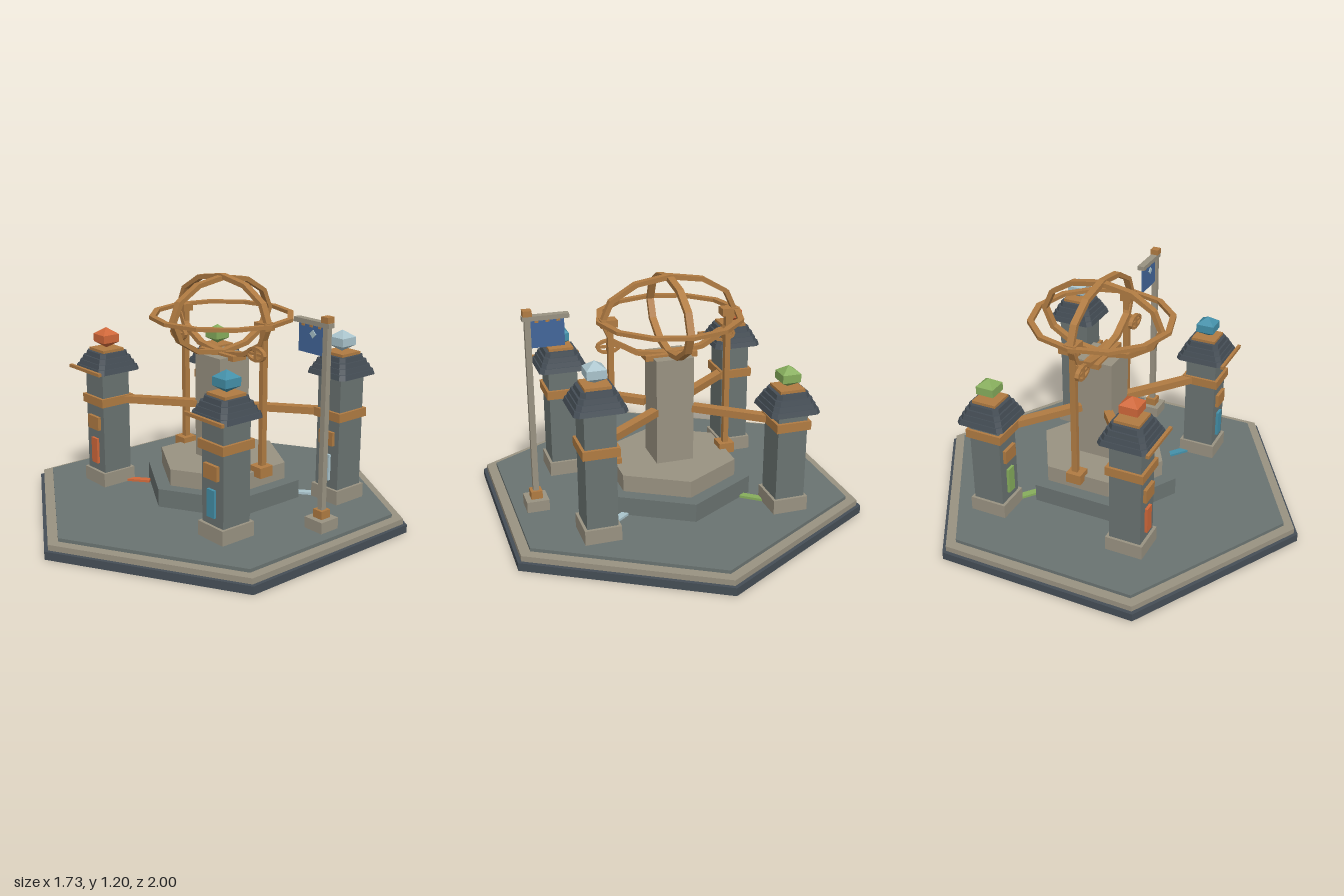
import * as THREE from 'three';

const mat = (name, color) => Object.assign(new THREE.MeshStandardMaterial({ color }), { name });

export function createModel() {
  const slate = mat('dark slate', 0x454e56), stone = mat('grey stone', 0x6a7371);
  const sand = mat('pale stone', 0x999281), bronze = mat('bronze', 0xb07b42);
  const orange = mat('orange', 0xd0683a), teal = mat('teal', 0x4490a9);
  const ice = mat('ice', 0xa9c3cb), green = mat('green', 0x86ad5c), blue = mat('banner blue', 0x42669a);
  const model = new THREE.Group();
  model.name = 'observatoryCourt';
  const CZ = -0.063; // centre line of the court

  const flat = (g) => {
    const f = g.index ? g.toNonIndexed() : g;
    f.computeVertexNormals();
    return f;
  };
  const add = (parent, name, geo, material, x = 0, y = 0, z = 0) => {
    const m = new THREE.Mesh(geo, material);
    m.name = name;
    m.position.set(x, y, z);
    parent.add(m);
    return m;
  };
  // box given by its width, depth and bottom/top heights
  const block = (parent, name, material, w, d, y0, y1, x = 0, z = 0) =>
    add(parent, name, new THREE.BoxGeometry(w, y1 - y0, d), material, x, (y0 + y1) / 2, z);
  const hex = (name, material, r, y0, y1, z = 0) =>
    add(model, name, flat(new THREE.CylinderGeometry(r, r, y1 - y0, 6)), material, 0, (y0 + y1) / 2, z);

  // twelve-sided elliptical hoop with a rectangular section, in the xy plane
  const hoop = (rx, ry, w, d) => {
    const pts = (a, b) => Array.from({ length: 12 }, (_, i) =>
      new THREE.Vector2(a * Math.cos(i * Math.PI / 6), b * Math.sin(i * Math.PI / 6)));
    const s = new THREE.Shape(pts(rx, ry));
    s.holes.push(new THREE.Path(pts(rx - w, ry - w)));
    return new THREE.ExtrudeGeometry(s, { depth: d, bevelEnabled: false }).translate(0, 0, -d / 2);
  };

  // roof slab: square with cut corners, tapering upward
  const slab = (r, h) => {
    const c = r - 0.022;
    const s = new THREE.Shape([[r, -c], [r, c], [c, r], [-c, r], [-r, c], [-r, -c], [-c, -r], [c, -r]]
      .map(([x, y]) => new THREE.Vector2(x, y)));
    const g = new THREE.ExtrudeGeometry(s, { depth: h, bevelEnabled: false }).rotateX(-Math.PI / 2);
    const p = g.attributes.position;
    for (let i = 0; i < p.count; i++) {
      if (p.getY(i) > h / 2) p.setXYZ(i, p.getX(i) * 0.94, p.getY(i), p.getZ(i) * 0.94);
    }
    return flat(g);
  };

  // stepped base, dais and central pillar
  hex('baseFoot', slate, 1, 0, 0.04);
  hex('baseRim', sand, 0.98, 0.04, 0.068);
  hex('baseFloor', stone, 0.925, 0.068, 0.085);
  hex('daisLower', stone, 0.41, 0.085, 0.177, CZ);
  hex('daisUpper', sand, 0.335, 0.177, 0.262, CZ);
  block(model, 'pillar', sand, 0.19, 0.19, 0.262, 0.8, 0, CZ);
  block(model, 'pillarCap', bronze, 0.264, 0.085, 0.785, 0.812, 0, CZ);

  // corner towers, each with its own eave height and accent
  const orb = flat(new THREE.LatheGeometry(
    [[0, 0], [0.065, 0.031], [0.065, 0.071], [0, 0.105]].map(([x, y]) => new THREE.Vector2(x, y)),
    4, Math.PI / 4));
  const tower = (name, x, z, eave, accent) => {
    const t = new THREE.Group();
    t.name = name;
    t.position.set(x, 0, z);
    model.add(t);
    block(t, 'plinth', sand, 0.175, 0.19, 0.085, 0.157);
    block(t, 'shaft', stone, 0.148, 0.16, 0.157, eave + 0.02);
    block(t, 'band', bronze, 0.175, 0.19, 0.512, 0.556);
    block(t, 'plaque', bronze, 0.092, 0.02, 0.382, 0.452, 0, 0.087);
    block(t, 'door', accent, 0.05, 0.016, 0.198, 0.332, 0, 0.086);
    [0.125, 0.112, 0.1, 0.085].forEach((r, i) =>
      add(t, 'roofTier', slab(r, 0.025), slate, 0, eave + i * 0.0237, 0));
    if (z > 0) block(t, 'eaveBoard', bronze, 0.266, 0.016, eave + 0.003, eave + 0.019, 0, 0.133);
    block(t, 'roofCap', bronze, 0.125, 0.125, eave + 0.095, eave + 0.11);
    add(t, 'finial', orb, accent, 0, eave + 0.11, 0);

    // bridge beam and floor inlay run toward the centre
    const dx = -x, dz = CZ - z;
    const spoke = (part, material, w, y0, y1, a, b) => {
      const len = Math.hypot(dx, dz) * (b - a), mid = (a + b) / 2;
      const m = block(t, part, material, len, w, y0, y1, dx * mid, dz * mid);
      m.rotation.y = Math.atan2(-dz, dx);
    };
    spoke('bridgeBeam', bronze, 0.045, 0.515, 0.551, 0.1, 0.79);
    spoke('floorInlay', accent, 0.035, 0.085, 0.097, 0.12, 0.36);
  };
  tower('frontRightTower', -0.468, 0.312, 0.69, orange);
  tower('frontLeftTower', 0.468, 0.312, 0.662, teal);
  tower('backLeftTower', 0.468, -0.428, 0.732, ice);
  tower('backRightTower', -0.468, -0.428, 0.6, green);

  // armillary hoops
  const cy = 0.993;
  add(model, 'crossHoop', hoop(0.345, 0.207, 0.024, 0.034), bronze, 0, cy, CZ);
  add(model, 'lengthHoop', hoop(0.322, 0.2, 0.024, 0.034).rotateY(Math.PI / 2), bronze, 0, cy, CZ);
  add(model, 'levelHoop', hoop(0.362, 0.362, 0.03, 0.018).rotateX(Math.PI / 2), bronze, 0, cy, CZ);

  // side posts with small gimbal rings
  for (const s of [-1, 1]) {
    const x = s * 0.298;
    block(model, 'postFoot', bronze, 0.078, 0.08, 0.237, 0.29, x, CZ);
    block(model, 'post', bronze, 0.027, 0.03, 0.29, 0.975, x, CZ - 0.005);
    block(model, 'postHead', bronze, 0.08, 0.06, 0.97, 1.007, s * 0.305, CZ);
    add(model, 'gimbalRing', hoop(0.062, 0.037, 0.014, 0.02), bronze, s * 0.296, 0.856, -0.022);
    block(model, 'gimbalBar', bronze, 0.11, 0.014, 0.85, 0.862, s * 0.296, -0.022);
    block(model, 'gimbalStem', bronze, 0.016, 0.05, 0.825, 0.888, s * 0.296, -0.037);
  }

  // banner pole
  const pole = new THREE.Group();
  pole.name = 'bannerPole';
  pole.position.set(0.693, 0, -0.083);
  model.add(pole);
  block(pole, 'poleBase', sand, 0.11, 0.11, 0.085, 0.14);
  block(pole, 'poleCollar', bronze, 0.056, 0.056, 0.14, 0.18);
  block(pole, 'poleShaft', sand, 0.028, 0.028, 0.18, 1.05);
  block(pole, 'poleArm', sand, 0.22, 0.036, 1.045, 1.067, -0.085);
  block(pole, 'poleCap', bronze, 0.042, 0.042, 1.067, 1.095);
  block(pole, 'banner', blue, 0.158, 0.009, 0.91, 1.045, -0.094);
  for (const x of [-0.145, -0.094, -0.043]) block(pole, 'bannerTab', bronze, 0.018, 0.016, 1.032, 1.045, x);
  const spot = add(pole, 'bannerDiamond', new THREE.BoxGeometry(0.028, 0.028, 0.005), ice, -0.083, 1.002, 0.006);
  spot.rotation.z = Math.PI / 4;

  return model;
}
